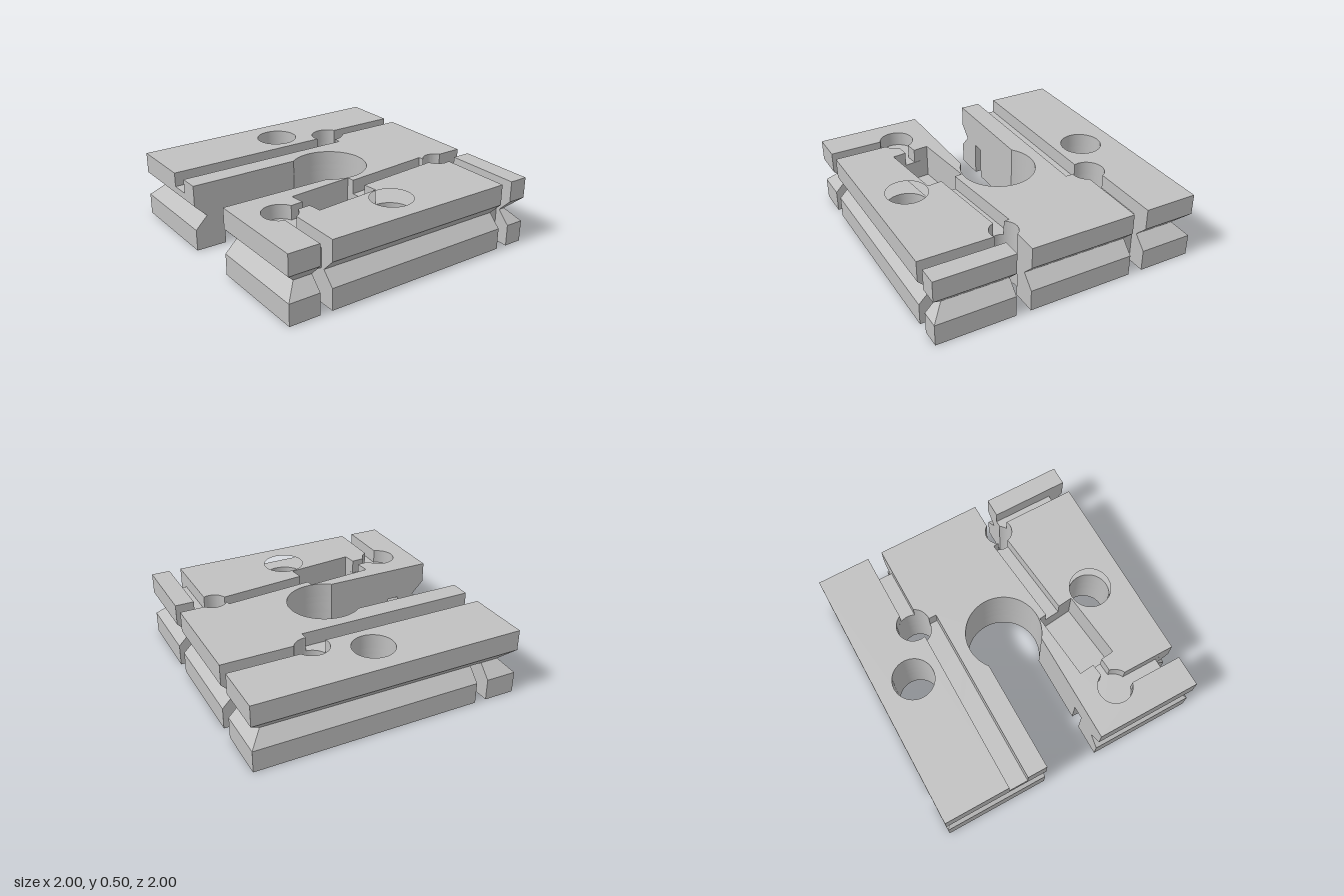
import * as THREE from 'three';
import { toCreasedNormals } from 'three/addons/utils/BufferGeometryUtils.js';

const metal = new THREE.MeshStandardMaterial({ color: 0xc0c0c0 });
metal.name = 'plain grey';

// Arc points on the plan (x, z), from one point to another about a centre
function arc([cx, cz, r], [x0, z0], [x1, z1], increasing = true) {
  const a = Math.atan2(z0 - cz, x0 - cx);
  let b = Math.atan2(z1 - cz, x1 - cx);
  if (increasing && b <= a) b += Math.PI * 2;
  if (!increasing && b >= a) b -= Math.PI * 2;
  const n = Math.max(4, Math.ceil(Math.abs(b - a) * 10));
  return Array.from({ length: n + 1 }, (_, i) => {
    const t = a + (b - a) * i / n;
    return [cx + r * Math.cos(t), cz + r * Math.sin(t)];
  });
}
const circle = ([cx, cz, r]) => arc([cx, cz, r], [cx + r, cz], [cx + r, cz]).slice(0, -1);
const toPlan = pts => pts.map(([x, z]) => new THREE.Vector2(x, -z));

// Plan features: [x, z, radius]
const KEY = [0, 0, 0.275];
const BORE = [-0.545, -0.365, 0.122];
const BACK = [0.36, -0.73, 0.1];
const POCKET = [0.49, 0.735, 0.125];
const LEFT = [-0.728, 0, 0.152];
const RIGHT = [0.725, 0, 0.152];
const RECESS = [[0.28, 0.035], [0.56, 0.005], [0.61, 0.505], [0.325, 0.535]];
const keyhole = arc(KEY, [-0.215, 0.172], [0.215, 0.172]);

// Right, back and left edges shared by the full-depth layers
const rearEdge = [
  [1, 0.68], [1, -0.77], [0.88, -0.77], [0.88, -0.86], [1, -0.86], [1, -1], [0.415, -1],
  ...arc(BACK, [0.415, -0.8135], [0.305, -0.8135]),
  [0.305, -1], [-0.49, -1], [-0.49, -0.86], [-0.6, -0.86], [-0.6, -1], [-1, -1],
];
const bores = [LEFT, RIGHT, BORE].map(circle);

// Lower layers: a cross channel separates two front strips
const lowerPlan = [
  { outline: [[-1, 0.68], [-0.215, 0.68], ...keyhole, [0.215, 0.68], [0.88, 0.68], ...rearEdge], holes: bores },
  { outline: [[-1, 1], [-0.215, 1], [-0.215, 0.77], [-1, 0.77]] },
  { outline: [[0.215, 1], [1, 1], [1, 0.77], [0.215, 0.77]] },
];

// Middle layers: whole plate with the deep recess
const middlePlan = [{
  outline: [[-1, 1], [-0.215, 1], ...keyhole, [0.215, 1], [1, 1], [1, 0.77], [0.88, 0.77], [0.88, 0.68], ...rearEdge],
  holes: [...bores, RECESS],
}];

// Top layer: lands left standing between the grooves
const topPlan = [
  {
    outline: [[-1, 1], [-0.51, 1], ...arc(BORE, [-0.51, -0.248], [-0.6, -0.474]), [-0.6, -1], [-1, -1]],
    holes: [circle(LEFT)],
  },
  {
    outline: [
      [-0.365, 1], [-0.215, 1], ...keyhole, [0.215, 1], [1, 1], [1, 0.77],
      ...arc(POCKET, [0.61, 0.77], [0.445, 0.618]), [0.435, 0.524],
      RECESS[3], RECESS[0], [0.335, 0.029], [0.27, -0.64],
      ...arc(BACK, [0.311, -0.643], [0.305, -0.8135]), [0.305, -1], [-0.49, -1],
      ...arc(BORE, [-0.49, -0.474], [-0.423, -0.355]), [-0.365, -0.355],
    ],
  },
  {
    outline: [
      [1, 0.68], ...arc(POCKET, [0.602, 0.68], [0.515, 0.613], false), [0.51, 0.516],
      RECESS[2], RECESS[1], [0.45, 0.017],
      ...arc(BACK, [0.385, -0.633], [0.452, -0.77], false), [1, -0.77],
    ],
    holes: [circle(RIGHT)],
  },
  { outline: [[1, -0.86], [1, -1], [0.415, -1], [0.415, -0.86]] },
];

// Extrude a plan from y0 to y1; the rim is pulled in to the given limits
function layer(name, plan, y0, y1, limit0 = 1, limit1 = 1) {
  const group = new THREE.Group();
  group.name = name;
  plan.forEach(({ outline, holes = [] }, i) => {
    const shape = new THREE.Shape(toPlan(outline));
    shape.holes = holes.map(h => new THREE.Path(toPlan(h)));
    const geo = new THREE.ExtrudeGeometry(shape, { depth: y1 - y0, bevelEnabled: false });
    geo.rotateX(-Math.PI / 2);
    const p = geo.attributes.position;
    for (let k = 0; k < p.count; k++) {
      const m = p.getY(k) < (y1 - y0) / 2 ? limit0 : limit1;
      p.setX(k, THREE.MathUtils.clamp(p.getX(k), -m, m));
      p.setZ(k, THREE.MathUtils.clamp(p.getZ(k), -m, m));
    }
    geo.translate(0, y0, 0);
    const mesh = new THREE.Mesh(toCreasedNormals(geo, 0.4), metal);
    mesh.name = `${name}Section${i + 1}`;
    group.add(mesh);
  });
  return group;
}

export function createModel() {
  const model = new THREE.Group();
  model.name = 'slottedPlate';
  model.add(
    layer('basePlate', lowerPlan, 0, 0.16),
    layer('lowerVGroove', lowerPlan, 0.16, 0.253, 1, 0.908),
    layer('upperVGroove', middlePlan, 0.253, 0.345, 0.908, 1),
    layer('grooveFloor', middlePlan, 0.345, 0.395),
    layer('topLands', topPlan, 0.395, 0.5),
  );
  return model;
}
